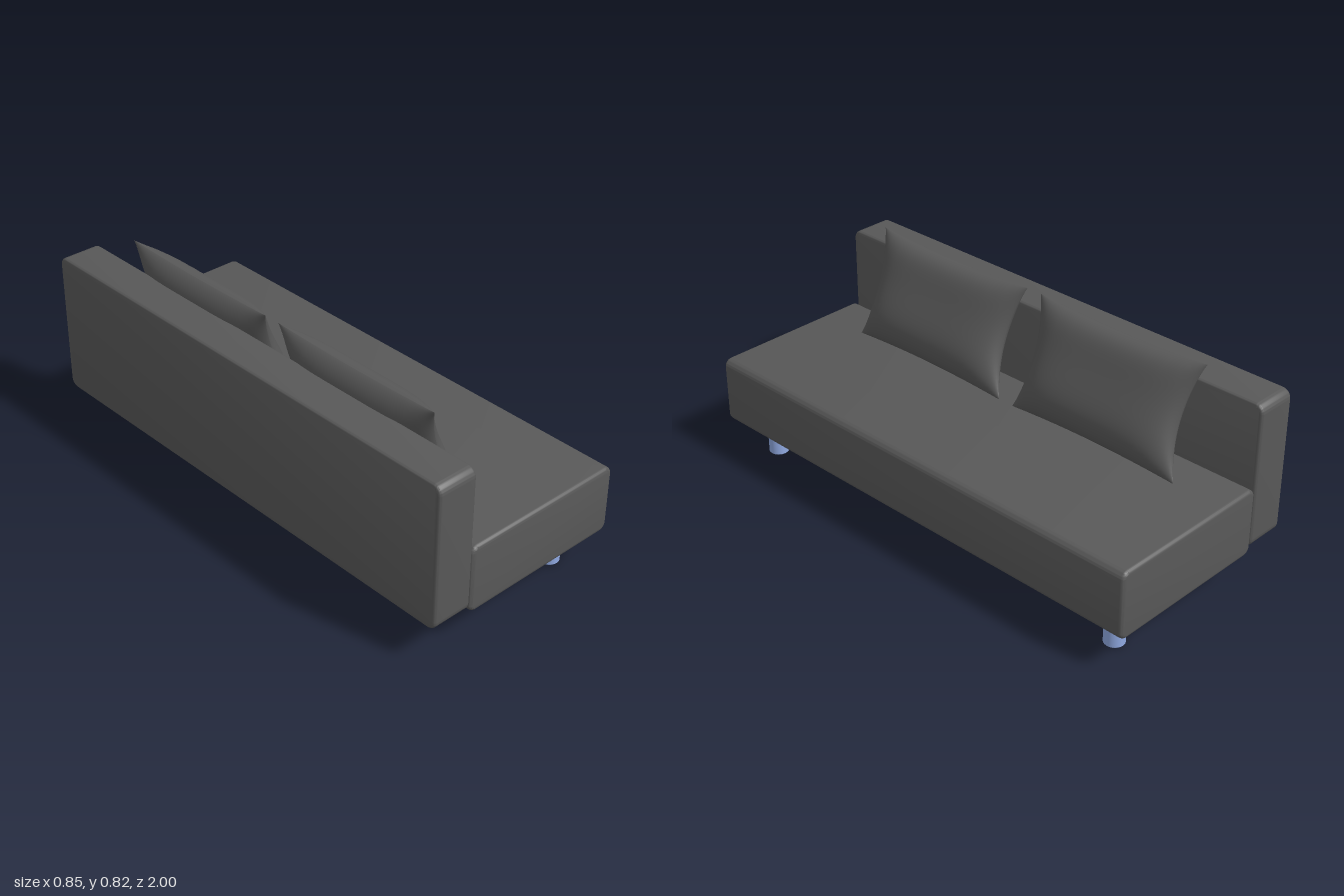
import * as THREE from 'three';
import { toCreasedNormals } from 'three/addons/utils/BufferGeometryUtils.js';

const fabric = new THREE.MeshStandardMaterial({ color: 0x585858 });
const black = new THREE.MeshStandardMaterial({ color: 0x111111 });
const blue = new THREE.MeshStandardMaterial({ color: 0x8fa8e0 });

// Upholstered block: rounded w x h outline with softly bevelled ends, centred on the origin
function slab(w, h, depth, radius, bevel) {
  const a = w / 2 - bevel, b = h / 2 - bevel, r = radius - bevel;
  const s = new THREE.Shape();
  s.absarc(a - r, b - r, r, 0, Math.PI / 2);
  s.absarc(-a + r, b - r, r, Math.PI / 2, Math.PI);
  s.absarc(-a + r, -b + r, r, Math.PI, Math.PI * 1.5);
  s.absarc(a - r, -b + r, r, Math.PI * 1.5, Math.PI * 2);
  s.closePath();
  const geo = new THREE.ExtrudeGeometry(s, {
    depth: depth - 2 * bevel, bevelSize: bevel, bevelThickness: bevel, bevelSegments: 4, curveSegments: 8,
  });
  geo.translate(0, 0, -depth / 2 + bevel);
  return toCreasedNormals(geo, 0.6);
}

// One half of a cushion: a grid pinched at the edges and puffed in the middle
function cushionHalf(side) {
  const geo = new THREE.PlaneGeometry(2, 2, 40, 32);
  const p = geo.attributes.position;
  for (let i = 0; i < p.count; i++) {
    const w = Math.sin(p.getX(i) * Math.PI / 2) * side;
    const v = Math.sin(p.getY(i) * Math.PI / 2);
    const puff = Math.pow(Math.max(0, (1 - w ** 4) * (1 - v ** 4)), 0.65);
    const x = w * (0.375 - 0.045 * w * w * (1 - v * v));
    const y = v * (0.215 - 0.013 * v * v * (1 - w * w));
    const wrinkle = 0.0012 * Math.sin(w * 34) * v ** 4 * puff;
    const sag = -0.009 * Math.sin(v * Math.PI) * puff;
    p.setXYZ(i, x, y, side * (0.074 * puff + wrinkle) + sag);
  }
  geo.computeVertexNormals();
  return geo;
}

export function createModel() {
  const group = new THREE.Group();
  const add = (name, geo, mat, x, y, z, parent = group) => {
    const mesh = new THREE.Mesh(geo, mat);
    mesh.name = name;
    mesh.position.set(x, y, z);
    parent.add(mesh);
    return mesh;
  };

  // Seat and backrest
  add('seat', slab(0.688, 0.269, 2, 0.032, 0.014), fabric, 0.081, 0.2775, 0);
  const back = slab(2, 0.571, 0.163, 0.036, 0.012);
  back.rotateY(Math.PI / 2);
  add('backrest', back, fabric, -0.3445, 0.4445, 0);

  // Base box under the seat
  add('base', new THREE.BoxGeometry(0.452, 0.085, 1.585), fabric, -0.059, 0.1175, 0);

  // Square feet under the base, round legs under the front edge
  const foot = new THREE.BoxGeometry(0.072, 0.073, 0.072);
  const leg = toCreasedNormals(new THREE.LatheGeometry([
    [0, 0], [0.034, 0], [0.039, 0.005], [0.039, 0.15], [0, 0.15],
  ].map(([r, y]) => new THREE.Vector2(r, y)), 32), 0.6);
  for (const s of [-1, 1]) {
    add('rearFoot', foot, black, -0.249, 0.0395, s * 0.755);
    add('middleFoot', foot, black, 0.13, 0.0395, s * 0.755);
    add('frontLeg', leg, blue, 0.292, 0, s * 0.867);
  }

  // Cushions leaning on the backrest
  const halves = [cushionHalf(1), cushionHalf(-1)];
  for (const geo of halves) geo.rotateY(Math.PI / 2).rotateZ(THREE.MathUtils.degToRad(20));
  for (const s of [-1, 1]) {
    const cushion = new THREE.Group();
    cushion.name = s > 0 ? 'leftCushion' : 'rightCushion';
    cushion.position.set(-0.163, 0.613, s * 0.408);
    add('cushionFront', halves[0], fabric, 0, 0, 0, cushion);
    add('cushionBack', halves[1], fabric, 0, 0, 0, cushion);
    group.add(cushion);
  }
  return group;
}
